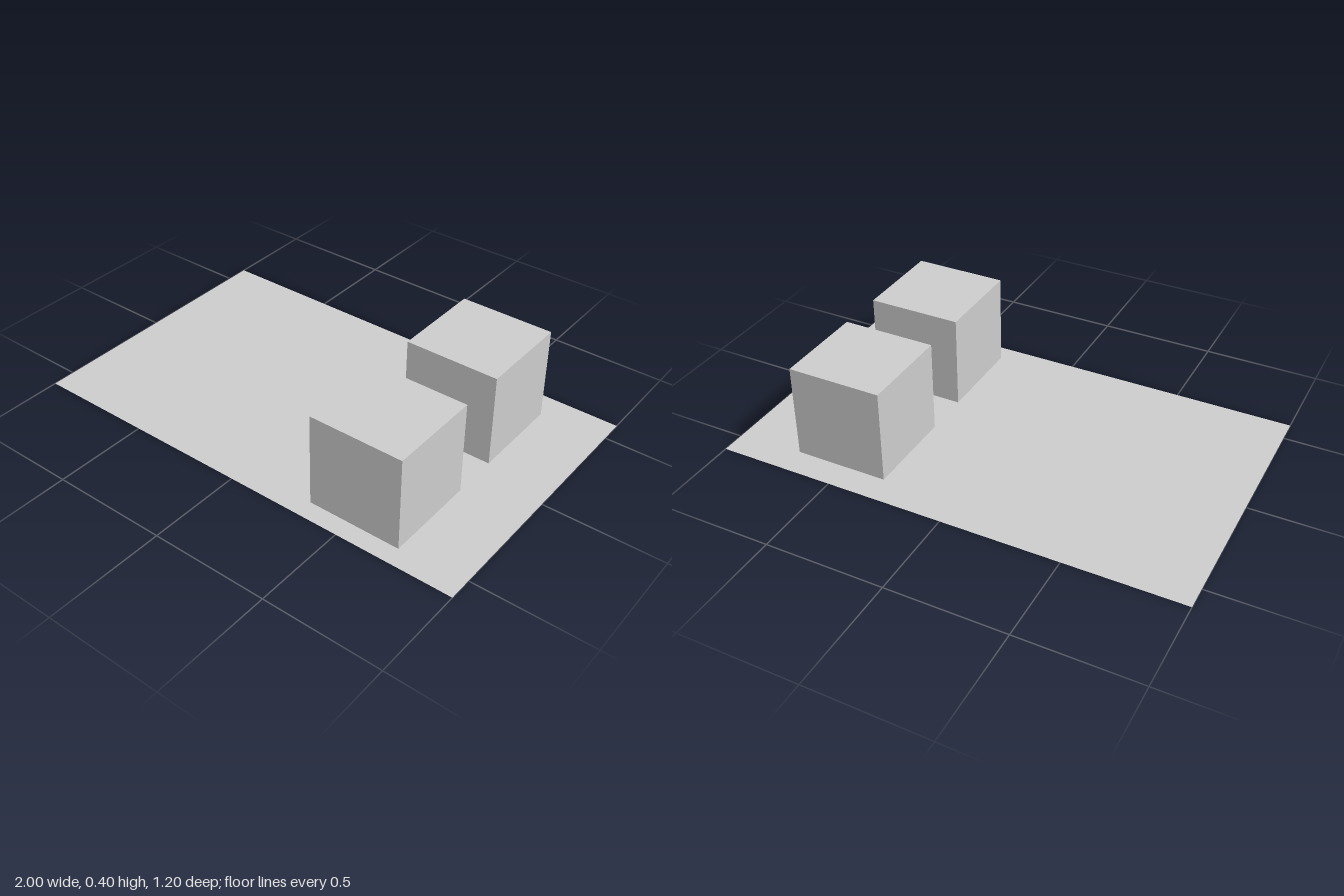
import * as THREE from 'three';

export function createModel() {
  const group = new THREE.Group();
  const grey = new THREE.MeshStandardMaterial({ color: 0xcccccc, side: THREE.DoubleSide });
  grey.name = 'light grey';

  // Flat sheet lying on the ground
  const ground = new THREE.Mesh(new THREE.PlaneGeometry(2, 1.2).rotateX(-Math.PI / 2), grey);
  ground.name = 'groundSheet';
  group.add(ground);

  // Two equal cubes standing on the sheet
  const size = 0.4;
  const cube = new THREE.BoxGeometry(size, size, size);
  for (const [name, z] of [['frontCube', 0.32], ['backCube', -0.28]]) {
    const mesh = new THREE.Mesh(cube, grey);
    mesh.name = name;
    mesh.position.set(0.52, size / 2, z);
    group.add(mesh);
  }
  return group;
}
